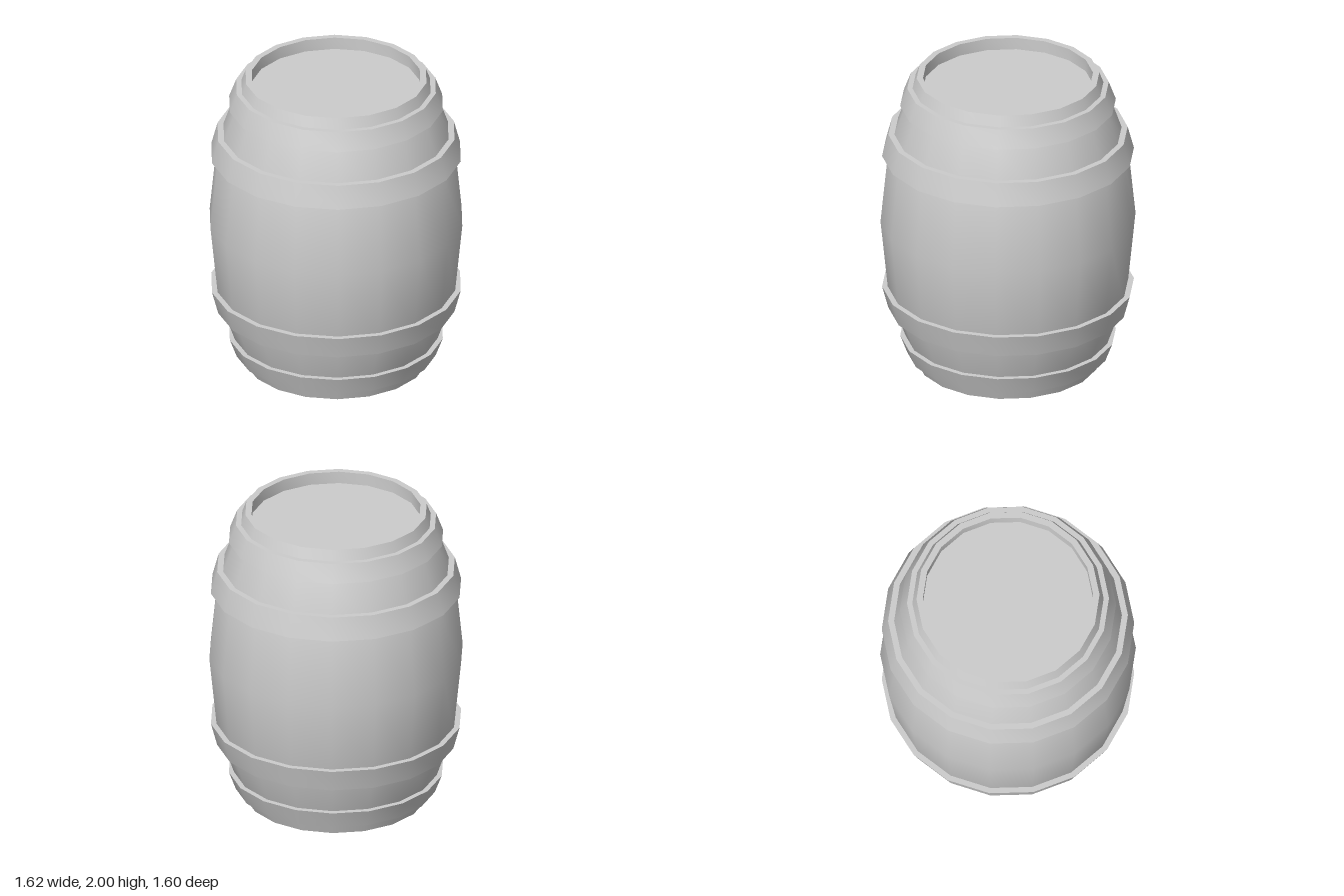
import * as THREE from 'three';
import { toCreasedNormals } from 'three/addons/utils/BufferGeometryUtils.js';

const SIDES = 18;
const material = new THREE.MeshStandardMaterial({ color: 0xcccccc });

// Turn a list of [radius, y] points around the y axis, with a corner on +x
function turned(name, profile) {
  const points = profile.map(([r, y]) => new THREE.Vector2(r, y));
  const lathe = new THREE.LatheGeometry(points, SIDES, Math.PI / 2);
  const mesh = new THREE.Mesh(toCreasedNormals(lathe, 0.6), material);
  mesh.name = name;
  return mesh;
}

// Sloped metal band; its inner wall is sunk into the staves
function hoop(name, y0, r0, y1, r1) {
  const t = 0.06;
  return turned(name, [[r0 - t, y0], [r0, y0], [r1, y1], [r1 - t, y1], [r0 - t, y0]]);
}

export function createModel() {
  const barrel = new THREE.Group();
  barrel.name = 'barrel';

  // Bulging body with recessed heads; the upper half mirrors the lower
  const lower = [[0, 0.08], [0.54, 0.08], [0.54, 0], [0.58, 0], [0.655, 0.2], [0.76, 0.5]];
  const upper = lower.map(([r, y]) => [r, 2 - y]).reverse();
  barrel.add(turned('body', [...lower, [0.81, 1], ...upper]));

  // Hoops in mirrored pairs, wider towards the middle
  const hoops = [
    ['EndHoop', 0.07, 0.64, 0.19, 0.685],
    ['BellyHoop', 0.39, 0.76, 0.54, 0.8],
  ];
  for (const [name, y0, r0, y1, r1] of hoops) {
    barrel.add(hoop('lower' + name, y0, r0, y1, r1));
    barrel.add(hoop('upper' + name, 2 - y1, r1, 2 - y0, r0));
  }
  return barrel;
}
